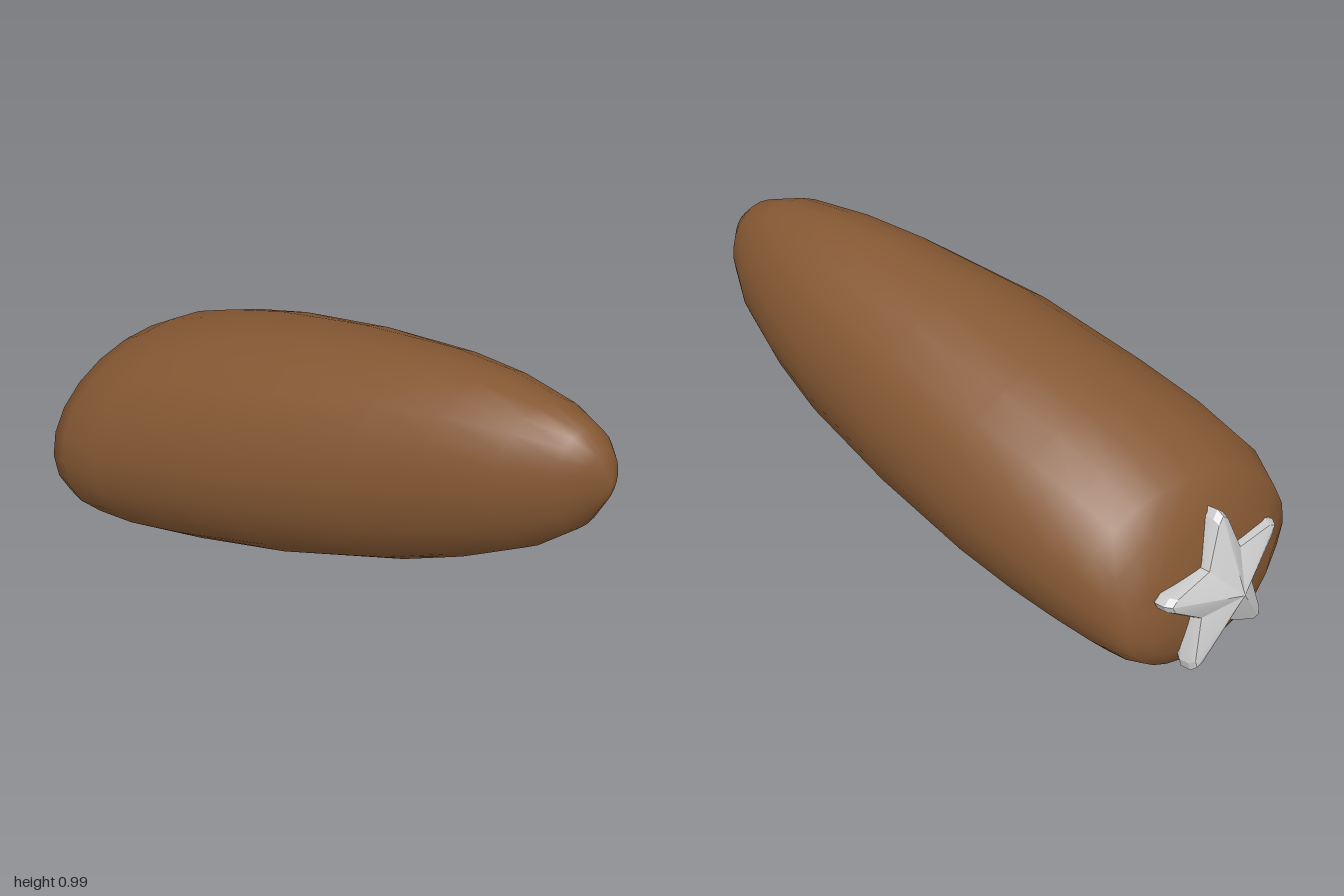
import * as THREE from 'three';
import { mergeVertices, toCreasedNormals } from 'three/addons/utils/BufferGeometryUtils.js';

// Skin a list of closed rings (arrays of Vector3, counter-clockwise seen from the first ring's side)
function loft(rings) {
  const n = rings[0].length;
  const index = [];
  for (let i = 0; i < rings.length - 1; i++) {
    for (let j = 0; j < n; j++) {
      const a = i * n + j, b = i * n + (j + 1) % n;
      index.push(a, a + n, b, b, a + n, b + n);
    }
  }
  const geometry = new THREE.BufferGeometry().setFromPoints(rings.flat());
  geometry.setIndex(index);
  return mergeVertices(geometry, 1e-5);
}

// Tapered, leaning body: [z, left x, right x, bottom y, top y] from front tip to back cap
function createBody() {
  const sections = [
    [1.0, 0.39, 0.39, 0.76, 0.76],
    [0.975, 0.31, 0.43, 0.69, 0.875],
    [0.92, 0.23, 0.47, 0.59, 0.93],
    [0.8, 0.11, 0.51, 0.48, 0.975],
    [0.6, -0.01, 0.53, 0.36, 0.995],
    [0.4, -0.12, 0.53, 0.265, 0.99],
    [0.05, -0.3, 0.5, 0.15, 0.945],
    [-0.3, -0.43, 0.445, 0.06, 0.87],
    [-0.5, -0.5, 0.4, 0.025, 0.81],
    [-0.66, -0.535, 0.355, 0.01, 0.75],
    [-0.78, -0.51, 0.305, 0, 0.68],
    [-0.85, -0.4, 0.265, 0.025, 0.605],
    [-0.9, -0.24, 0.215, 0.08, 0.47],
    [-0.925, -0.05, 0.15, 0.17, 0.36],
    [-0.93, 0.06, 0.06, 0.26, 0.26],
  ];
  const sides = 24;
  const rings = sections.map(([z, x0, x1, y0, y1]) => {
    const lean = 0.05 - 0.13 * z; // ellipse skew changes along the length
    return Array.from({ length: sides }, (_, j) => {
      const t = (j / sides) * Math.PI * 2;
      return new THREE.Vector3(
        (x0 + x1) / 2 + ((x1 - x0) / 2) * Math.cos(t),
        (y0 + y1) / 2 + ((y1 - y0) / 2) * Math.sin(t + lean),
        z
      );
    });
  });
  const geometry = loft(rings);
  geometry.computeVertexNormals();
  const body = new THREE.Mesh(geometry, new THREE.MeshStandardMaterial({ color: 0x855833 }));
  body.name = 'body';
  return body;
}

// Five-pointed star with blunt tips, bevelled rim and a raised centre
function createStar() {
  const outline = [];
  for (let k = 0; k < 5; k++) {
    const a = Math.PI / 2 + (k * Math.PI * 2) / 5;
    for (const [offset, r] of [[-0.09, 0.255], [0, 0.275], [0.09, 0.255], [Math.PI / 5, 0.135]]) {
      outline.push([Math.cos(a + offset) * r, Math.sin(a + offset) * r]);
    }
  }
  const ring = (scale, z) => outline.map(([x, y]) => new THREE.Vector3(x * scale, y * scale, z));
  const geometry = loft([ring(0, 0.085), ring(0.94, 0.015), ring(1, -0.005), ring(1, -0.04), ring(0.92, -0.06), ring(0, -0.06)]);
  const star = new THREE.Mesh(
    toCreasedNormals(geometry, 0.4),
    new THREE.MeshStandardMaterial({ color: 0xcccccc })
  );
  star.name = 'star';
  star.position.set(-0.135, 0.335, -0.915);
  star.lookAt(-0.335, 0.475, -1.915); // lies against the rounded back cap
  return star;
}

export function createModel() {
  const model = new THREE.Group();
  model.name = 'taperedBodyWithStar';
  model.add(createBody(), createStar());
  return model;
}
